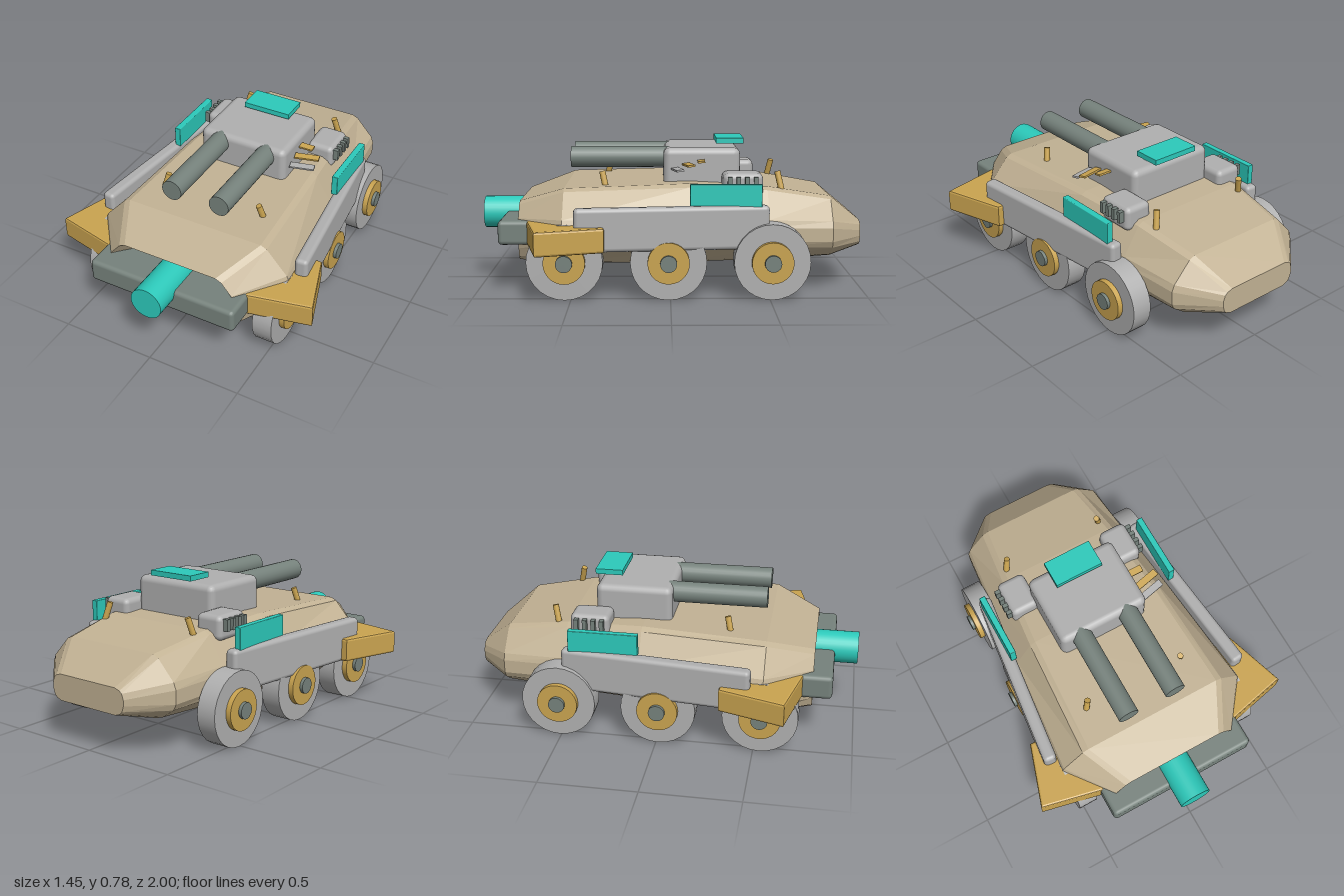
import * as THREE from 'three';
import { RoundedBoxGeometry } from 'three/addons/geometries/RoundedBoxGeometry.js';

const mat = (name, color, flat = false) =>
  Object.assign(new THREE.MeshStandardMaterial({ color }), { name, flatShading: flat });

// Chamfered ring of a hull section, counter-clockwise seen from the front
function hullRing([z, top, t, w, y2, y1, b, bot]) {
  const c = [[t, top], [-t, top], [-w, y2], [-w, y1], [-b, bot], [b, bot], [w, y1], [w, y2]];
  const ring = [];
  c.forEach((p, i) => {
    for (const q of [c[(i + 7) % 8], c[(i + 1) % 8]]) {
      const d = Math.hypot(q[0] - p[0], q[1] - p[1]);
      const k = Math.min(0.02 / d, 0.3);
      ring.push([p[0] + (q[0] - p[0]) * k, p[1] + (q[1] - p[1]) * k, z]);
    }
  });
  return ring;
}

// Faceted skin over a row of rings, closed at both ends
function loft(rings) {
  const pos = [], n = rings[0].length, last = rings[rings.length - 1];
  const tri = (...p) => p.forEach(v => pos.push(...v));
  for (let r = 0; r < rings.length - 1; r++) {
    for (let i = 0; i < n; i++) {
      const j = (i + 1) % n;
      const a = rings[r][i], b = rings[r][j], c = rings[r + 1][j], d = rings[r + 1][i];
      tri(a, c, b);
      tri(a, d, c);
    }
  }
  for (let i = 1; i < n - 1; i++) {
    tri(rings[0][0], rings[0][i], rings[0][i + 1]);
    tri(last[0], last[i + 1], last[i]);
  }
  const g = new THREE.BufferGeometry();
  g.setAttribute('position', new THREE.Float32BufferAttribute(pos, 3));
  g.computeVertexNormals();
  return g;
}

export function createModel() {
  const tan = mat('tan armour', 0xc2b294);
  const grey = mat('light grey', 0xb0b0b0);
  const gold = mat('gold', 0xcaa450);
  const dark = mat('dark grey', 0x76827c);
  const teal = mat('teal', 0x2ccabb);

  const model = new THREE.Group();
  const add = (name, geo, material, x = 0, y = 0, z = 0) => {
    const m = new THREE.Mesh(geo, material);
    m.name = name;
    m.position.set(x, y, z);
    model.add(m);
    return m;
  };
  const box = (w, h, d, r = 0) => r ? new RoundedBoxGeometry(w, h, d, 2, r) : new THREE.BoxGeometry(w, h, d);
  const axle = (r, len, seg = 28) => new THREE.CylinderGeometry(r, r, len, seg).rotateZ(Math.PI / 2);
  const rod = (r, len, seg = 24) => new THREE.CylinderGeometry(r, r, len, seg).rotateX(Math.PI / 2);

  // Hull: recess wall first, then the nose rim and back to the tail
  // each row: z, top, top half width, side half width, side top, side bottom, floor half width, floor
  const sections = [
    [0.54, 0.39, 0.1, 0.15, 0.35, 0.26, 0.12, 0.2],
    [0.78, 0.465, 0.28, 0.36, 0.37, 0.25, 0.33, 0.165],
    [0.54, 0.545, 0.4, 0.54, 0.39, 0.26, 0.44, 0.165],
    [-0.1, 0.565, 0.37, 0.48, 0.38, 0.26, 0.4, 0.165],
    [-0.5, 0.545, 0.33, 0.44, 0.37, 0.26, 0.35, 0.168],
    [-0.83, 0.49, 0.29, 0.41, 0.36, 0.25, 0.31, 0.18],
    [-1, 0.35, 0.2, 0.235, 0.32, 0.25, 0.2, 0.215],
  ];
  add('hull', loft(sections.map(hullRing)), tan);

  // Nose
  add('frontBumper', box(0.82, 0.125, 0.2, 0.022), dark, 0, 0.318, 0.78);
  add('noseEmitter', rod(0.085, 0.4, 32), teal, 0, 0.365, 0.8);

  // Turret
  add('turret', box(0.5, 0.25, 0.4, 0.035), grey, 0, 0.61, -0.165);
  add('turretRoofPanel', box(0.265, 0.028, 0.145), teal, 0, 0.763, -0.317);

  for (const s of [1, -1]) {
    const side = s > 0 ? 'left' : 'right';

    // Gun barrels
    add(side + 'Barrel', rod(0.055, 0.6), dark, s * 0.135, 0.68, 0.22);

    // Wheels with hubs
    for (const z of [0.53, 0.01, -0.51]) {
      add(side + 'Wheel', axle(0.192, 0.105), grey, s * 0.483, 0.192, z);
      add(side + 'Hub', axle(0.105, 0.06), gold, s * 0.533, 0.192, z);
      add(side + 'HubCap', axle(0.042, 0.06), dark, s * 0.55, 0.192, z);
    }

    // Angled side skirts
    add(side + 'Skirt', box(0.07, 0.22, 0.98, 0.022), grey, s * 0.518, 0.362, -0.008)
      .rotation.y = s * 0.105;

    // Swept front fenders
    const outline = [[0.4, 0.72], [0.71, 0.65], [0.61, 0.34], [0.4, 0.34]];
    const shape = new THREE.Shape(outline.map(([x, z]) => new THREE.Vector2(s * x, z)));
    const fender = new THREE.ExtrudeGeometry(shape, {
      depth: 0.1, bevelThickness: 0.012, bevelSize: 0.012, bevelSegments: 2,
    }).rotateX(Math.PI / 2);
    add(side + 'Fender', fender, gold, 0, 0.368, 0);

    // Rear pods with cooling fins
    add(side + 'Pod', box(0.155, 0.13, 0.205, 0.03), grey, s * 0.31, 0.555, -0.37);
    for (let i = 0; i < 4; i++) {
      add(side + 'PodFin', box(0.04, 0.06, 0.022), dark, s * 0.393, 0.573, -0.302 - i * 0.044);
    }

    // Upright side panels
    add(side + 'SidePanel', box(0.034, 0.115, 0.36, 0.004), teal, s * 0.483, 0.522, -0.278);

    // Roof pegs leaning inward
    for (const z of [0.34, -0.565]) {
      const peg = add(side + 'RoofPeg', new THREE.CylinderGeometry(0.016, 0.016, 0.1, 12), gold, s * 0.28, 0.57, z);
      peg.rotation.set(s * 0.22, 0, s * 0.22);
    }
  }

  // Small loose plates beside the turret
  const plates = [
    [0.08, 0.285, 0.671, -0.16, 0, gold],
    [0.13, 0.32, 0.656, -0.095, 0.22, gold],
    [0.13, 0.32, 0.632, -0.038, 0.22, grey],
  ];
  for (const [w, x, y, z, turn, m] of plates) {
    add('turretSidePlate', box(w, 0.01, 0.038), m, x, y, z).rotation.set(0.12, turn, 0);
  }

  return model;
}
